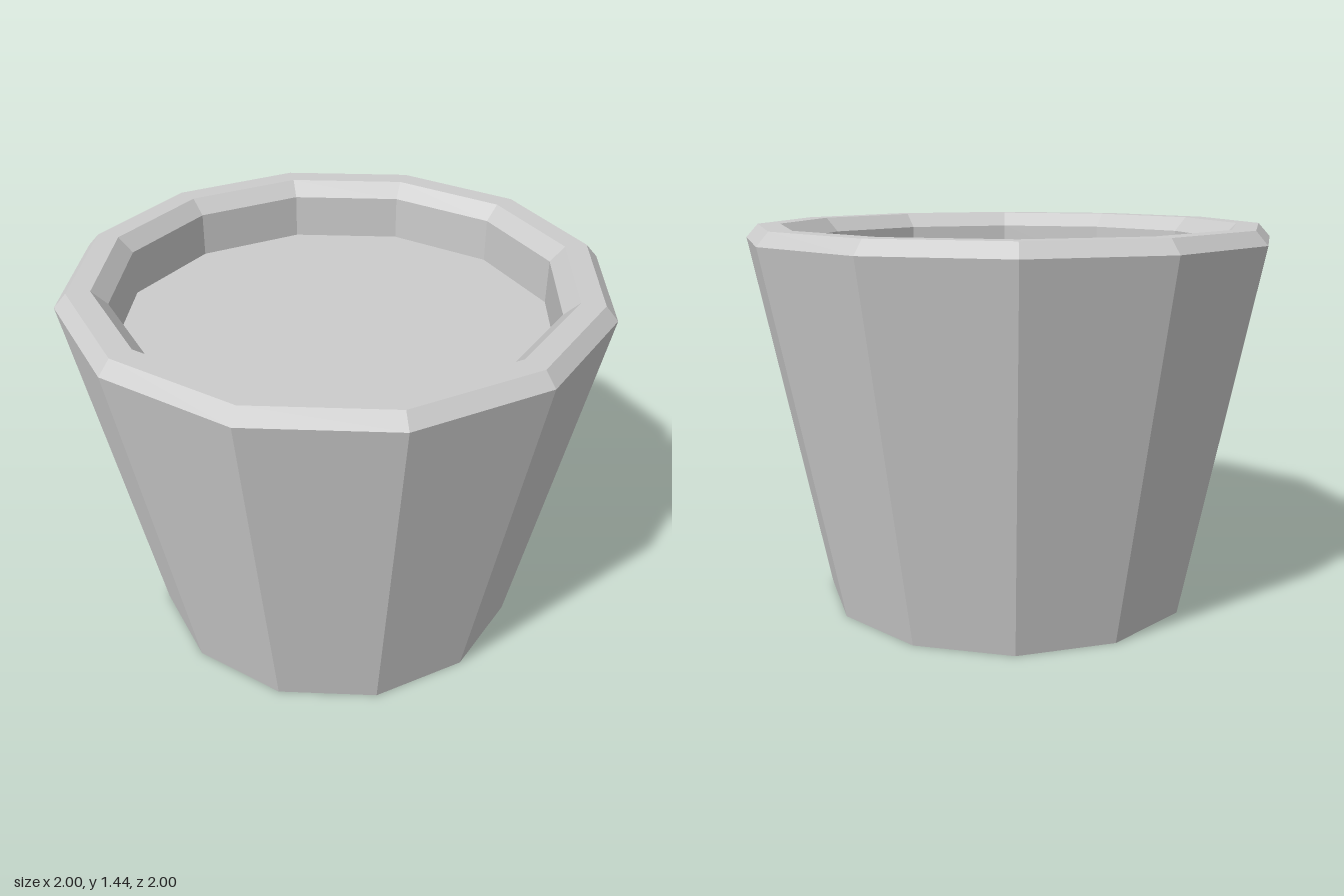
import * as THREE from 'three';

const SIDES = 12;

// Faceted solid of revolution; profile runs from the bottom, up the outside, then inwards
function lathePart(name, profile, material) {
  const points = profile.map(([r, y]) => new THREE.Vector2(r, y));
  const mesh = new THREE.Mesh(new THREE.LatheGeometry(points, SIDES), material);
  mesh.name = name;
  return mesh;
}

export function createModel() {
  const group = new THREE.Group();
  group.name = 'plantPot';
  const material = new THREE.MeshStandardMaterial({ color: 0xcccccc, flatShading: true });

  // Tapered outer wall with closed base
  group.add(lathePart('body', [[0, 0], [0.72, 0], [1, 1.39]], material));

  // Rim bevelled on both edges, then the upright inner wall
  group.add(lathePart('rim', [
    [1, 1.39], [0.955, 1.44], [0.87, 1.44], [0.815, 1.385], [0.815, 1.215],
  ], material));

  // Flat fill inside the pot
  const fill = new THREE.Mesh(new THREE.CircleGeometry(0.815, SIDES), material);
  fill.name = 'fill';
  fill.rotation.x = -Math.PI / 2;
  fill.position.y = 1.215;
  group.add(fill);

  return group;
}
